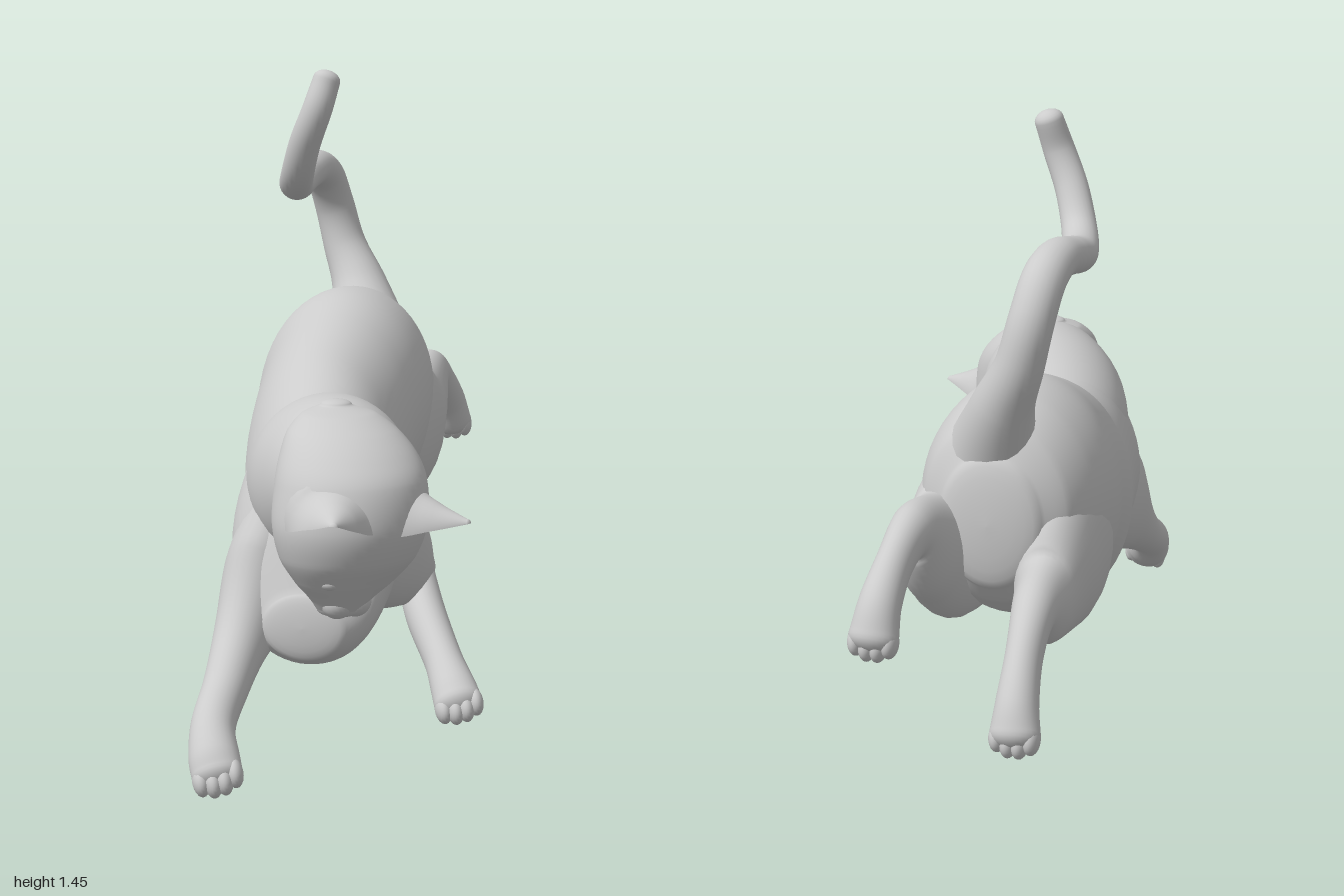
import * as THREE from 'three';

const material = new THREE.MeshStandardMaterial({ color: 0xcccccc, side: THREE.DoubleSide });
const V = (x, y, z) => new THREE.Vector3(x, y, z);
const X = V(1, 0, 0);
const HEAD_SIDE = V(1, 0, -1).normalize();
const HEAD_FRONT = V(1, 0, 1).normalize();

// Smooth closed skin over oval sections [x, y, z, halfWidth, halfHeight].
// "ref" steers the width axis, "axis" keeps all sections parallel,
// "cupped" hollows the negative height side.
function loft(name, sections, { ref = X, axis, sides = 40, steps = 8, cap = 0.7, cupped = false } = {}) {
  const path = new THREE.CatmullRomCurve3(sections.map((s) => V(s[0], s[1], s[2])));
  const sizes = new THREE.CatmullRomCurve3(sections.map((s) => V(s[3], s[4], 0)), false, 'catmullrom', 0.5);
  const n = (sections.length - 1) * steps;
  const rings = [];
  const addRing = (t, offset, scale) => {
    const tangent = axis ?? path.getTangent(t);
    const size = sizes.getPoint(t);
    const w = ref.clone().addScaledVector(tangent, -ref.dot(tangent)).normalize();
    const h = tangent.clone().cross(w);
    const c = path.getPoint(t).addScaledVector(tangent, offset * cap * Math.min(size.x, size.y));
    rings.push({ c, w: w.multiplyScalar(size.x * scale), h: h.multiplyScalar(size.y * scale) });
  };
  const capSteps = 6;
  for (let i = 0; i < capSteps; i++) {
    const a = (1 - i / capSteps) * Math.PI / 2;
    addRing(0, -Math.sin(a), Math.max(Math.cos(a), 0.002));
  }
  for (let i = 0; i <= n; i++) addRing(i / n, 0, 1);
  for (let i = 1; i <= capSteps; i++) {
    const a = (i / capSteps) * Math.PI / 2;
    addRing(1, Math.sin(a), Math.max(Math.cos(a), 0.002));
  }

  const positions = [];
  const index = [];
  rings.forEach(({ c, w, h }, i) => {
    for (let j = 0; j < sides; j++) {
      const a = (j / sides) * Math.PI * 2;
      const s = Math.sin(a);
      const p = c.clone().addScaledVector(w, Math.cos(a)).addScaledVector(h, cupped && s < 0 ? -0.35 * s : s);
      positions.push(p.x, p.y, p.z);
      if (i === rings.length - 1) continue;
      const k = (j + 1) % sides;
      const q = i * sides;
      index.push(q + j, q + k, q + sides + j, q + k, q + sides + k, q + sides + j);
    }
  });
  const geometry = new THREE.BufferGeometry();
  geometry.setAttribute('position', new THREE.Float32BufferAttribute(positions, 3));
  geometry.setIndex(index);
  geometry.computeVertexNormals();
  const mesh = new THREE.Mesh(geometry, material);
  mesh.name = name;
  return mesh;
}

function ball(name, position, radius, scale, direction) {
  const mesh = new THREE.Mesh(new THREE.SphereGeometry(radius, 20, 14), material);
  mesh.name = name;
  mesh.position.copy(position);
  mesh.scale.set(...scale);
  mesh.quaternion.setFromUnitVectors(V(0, 0, 1), direction);
  return mesh;
}

// Leg with four toes fanned across the end of its last section
function leg(name, parts, toeDirection) {
  const group = new THREE.Group();
  group.name = name;
  parts.forEach((sections, i) => group.add(loft(i ? 'forearm' : 'limb', sections, { sides: 28 })));
  const end = parts.at(-1).at(-1);
  const dir = V(...toeDirection).normalize();
  const side = X.clone().addScaledVector(dir, -X.dot(dir)).normalize();
  for (let i = 0; i < 4; i++) {
    const k = i - 1.5;
    const p = V(end[0], end[1], end[2])
      .addScaledVector(dir, 0.02 - 0.005 * k * k)
      .addScaledVector(side, k * 0.024);
    group.add(ball('toe', p, 0.022, [0.85, 1.35, 1.5], dir));
  }
  return group;
}

export function createModel() {
  const model = new THREE.Group();
  model.name = 'leapingCat';

  // Trunk from rump to chest
  model.add(loft('body', [
    [-0.16, 0.645, -0.61, 0.115, 0.15],
    [-0.16, 0.655, -0.57, 0.165, 0.205],
    [-0.162, 0.65, -0.48, 0.2, 0.255],
    [-0.162, 0.63, -0.35, 0.214, 0.28],
    [-0.15, 0.6, -0.2, 0.2, 0.27],
    [-0.135, 0.53, 0, 0.185, 0.27],
    [-0.09, 0.465, 0.2, 0.18, 0.257],
    [-0.05, 0.465, 0.36, 0.19, 0.265],
    [-0.03, 0.435, 0.5, 0.185, 0.235],
    [-0.02, 0.355, 0.59, 0.155, 0.15],
    [-0.015, 0.3, 0.64, 0.095, 0.075],
  ], { axis: V(0, 0, 1), sides: 56, cap: 0.25 }));

  model.add(loft('neck', [
    [-0.07, 0.53, 0.18, 0.1, 0.12],
    [-0.05, 0.555, 0.32, 0.165, 0.185],
    [-0.005, 0.588, 0.45, 0.18, 0.195],
    [0.045, 0.605, 0.56, 0.168, 0.185],
    [0.08, 0.6, 0.63, 0.15, 0.165],
  ], { sides: 48 }));

  // Head bowed down, crown and ears turned to the front left
  const head = new THREE.Group();
  head.name = 'head';
  head.add(loft('skull', [
    [0.045, 0.783, 0.59, 0.035, 0.035],
    [0.055, 0.768, 0.605, 0.08, 0.08],
    [0.07, 0.735, 0.63, 0.12, 0.118],
    [0.088, 0.69, 0.655, 0.148, 0.143],
    [0.098, 0.64, 0.675, 0.163, 0.158],
    [0.1, 0.55, 0.69, 0.17, 0.157],
    [0.095, 0.475, 0.69, 0.15, 0.135],
    [0.087, 0.42, 0.69, 0.108, 0.096],
    [0.079, 0.385, 0.688, 0.07, 0.07],
    [0.074, 0.358, 0.685, 0.048, 0.05],
  ], { ref: HEAD_SIDE, axis: V(0, -1, 0), sides: 48, cap: 0.35 }));
  head.add(loft('leftEar', [
    [0.15, 0.545, 0.675, 0.13, 0.14],
    [0.225, 0.54, 0.695, 0.092, 0.112],
    [0.295, 0.552, 0.715, 0.05, 0.055],
    [0.362, 0.565, 0.732, 0.01, 0.01],
  ], { ref: V(0, 0, -1), sides: 32, cupped: true }));
  head.add(loft('rightEar', [
    [0.085, 0.56, 0.75, 0.13, 0.135],
    [0.098, 0.552, 0.825, 0.092, 0.105],
    [0.116, 0.57, 0.895, 0.05, 0.055],
    [0.13, 0.593, 0.962, 0.01, 0.01],
  ], { ref: X, sides: 32, cupped: true }));
  for (const s of [-1, 1]) {
    const at = (y, out, front) => V(0.083, y, 0.69)
      .addScaledVector(HEAD_SIDE, s * out).addScaledVector(HEAD_FRONT, front);
    head.add(ball('eye', at(0.435, 0.068, 0.062), 0.024, [1, 0.7, 1], HEAD_FRONT));
    head.add(ball('muzzleCheek', at(0.378, 0.022, 0.014), 0.036, [1, 1, 1], HEAD_FRONT));
  }
  head.add(ball('nose', V(0.097, 0.364, 0.707), 0.02, [1, 0.8, 1], HEAD_FRONT));
  model.add(head);

  // Left foreleg folded at the elbow, right foreleg stretched ahead
  model.add(leg('leftForeleg', [[
    [-0.03, 0.58, 0.49, 0.09, 0.12],
    [0.03, 0.515, 0.4, 0.11, 0.18],
    [0.07, 0.435, 0.3, 0.098, 0.17],
    [0.105, 0.36, 0.185, 0.07, 0.115],
    [0.12, 0.32, 0.112, 0.046, 0.06],
  ], [
    [0.12, 0.305, 0.11, 0.044, 0.055],
    [0.165, 0.242, 0.22, 0.047, 0.058],
    [0.235, 0.165, 0.35, 0.044, 0.05],
    [0.272, 0.122, 0.42, 0.051, 0.048],
    [0.288, 0.1, 0.45, 0.054, 0.045],
  ]], [0.35, -0.55, 0.65]));
  model.add(leg('rightForeleg', [[
    [-0.1, 0.52, 0.4, 0.09, 0.15],
    [-0.14, 0.37, 0.49, 0.09, 0.145],
    [-0.16, 0.262, 0.62, 0.063, 0.08],
    [-0.16, 0.188, 0.75, 0.05, 0.055],
    [-0.155, 0.128, 0.87, 0.048, 0.05],
    [-0.135, 0.082, 0.93, 0.054, 0.05],
    [-0.122, 0.058, 0.955, 0.054, 0.042],
  ]], [0.35, -0.7, 0.6]));

  // Hind legs kicked out behind
  model.add(leg('leftHindLeg', [[
    [-0.09, 0.6, -0.24, 0.07, 0.13],
    [-0.058, 0.58, -0.38, 0.1, 0.195],
    [-0.04, 0.565, -0.5, 0.098, 0.187],
    [-0.032, 0.585, -0.61, 0.077, 0.13],
    [-0.025, 0.65, -0.735, 0.05, 0.064],
    [-0.02, 0.618, -0.83, 0.04, 0.05],
    [-0.015, 0.55, -0.92, 0.046, 0.05],
    [-0.012, 0.49, -0.953, 0.054, 0.047],
  ]], [0, -0.95, -0.25]));
  model.add(leg('rightHindLeg', [[
    [-0.23, 0.6, -0.24, 0.07, 0.13],
    [-0.265, 0.565, -0.38, 0.105, 0.195],
    [-0.28, 0.53, -0.5, 0.095, 0.178],
    [-0.287, 0.495, -0.62, 0.07, 0.112],
    [-0.298, 0.503, -0.75, 0.048, 0.058],
    [-0.305, 0.44, -0.845, 0.04, 0.05],
    [-0.312, 0.36, -0.92, 0.046, 0.05],
    [-0.316, 0.31, -0.948, 0.054, 0.047],
  ]], [0, -0.9, -0.3]));

  // Tail curling up and forward
  model.add(loft('tail', [
    [-0.14, 0.79, -0.52, 0.1, 0.1],
    [-0.18, 0.9, -0.583, 0.07, 0.072],
    [-0.225, 1.0, -0.613, 0.054, 0.057],
    [-0.25, 1.1, -0.608, 0.05, 0.052],
    [-0.262, 1.175, -0.56, 0.049, 0.05],
    [-0.268, 1.203, -0.48, 0.047, 0.045],
    [-0.272, 1.193, -0.39, 0.044, 0.042],
    [-0.267, 1.178, -0.29, 0.042, 0.04],
    [-0.243, 1.21, -0.205, 0.04, 0.038],
    [-0.21, 1.29, -0.15, 0.038, 0.037],
    [-0.175, 1.37, -0.13, 0.036, 0.036],
    [-0.155, 1.44, -0.144, 0.033, 0.033],
  ], { sides: 24 }));

  return model;
}
